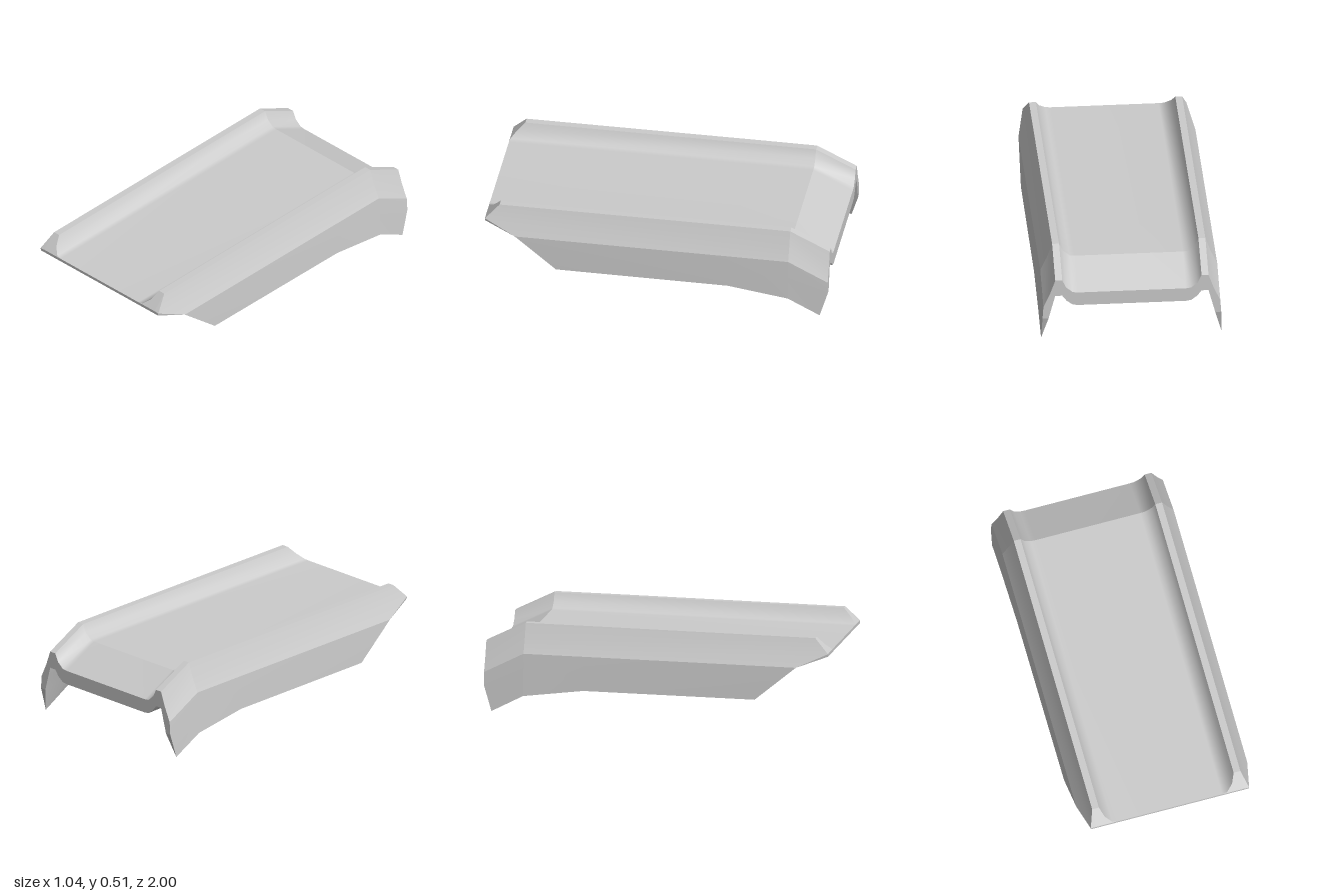
import * as THREE from 'three';

// Half top profile from centre outwards: [x, offset below the rail top]
const TOP = [[0, -0.083], [0.31, -0.083], [0.34, -0.079], [0.378, -0.047], [0.4, 0], [0.44, 0],
  [0.47, -0.085], [0.508, -0.166]];
// Half underside profile: [x, share of the drop from the rail hollow to the deck bottom]
const UNDER = [[0, 1], [0.31, 1], [0.34, 0.93], [0.375, 0.52], [0.4, 0], [0.44, 0]];
// Points down the inside of the skirt, from the rail hollow to the tip
const INSIDE = [0.15, 0.3, 0.5];

// Stations front to back: rail height, skirt crease, skirt middle, skirt tip, rail hollow, drop to deck bottom
const STATIONS = [
  { z: 1, rail: 0.49, crease: 0.326, mid: 0.23, tip: 0.13, x: 0.513, hollow: 0.33, drop: 0.085 },
  { z: -0.42, rail: 0.505, crease: 0.338, mid: 0.243, tip: 0.14, x: 0.517, hollow: 0.305, drop: 0.07 },
  { z: -0.77, rail: 0.508, crease: 0.341, mid: 0.22, tip: 0.096, x: 0.521, hollow: 0.299, drop: 0.067 },
  { z: -1, rail: 0.395, crease: 0.225, mid: 0.15, tip: 0, x: 0.518, hollow: 0.295, drop: 0.065 },
];

// The nose is cut to a wedge, so its z depends on height
const NOSE = [[0.13, 0.58], [0.326, 0.82], [0.39, 1], [0.407, 1], [0.49, 0.92]];
function noseZ(y) {
  for (let i = 1; i < NOSE.length; i++) {
    const [y0, z0] = NOSE[i - 1], [y1, z1] = NOSE[i];
    if (y <= y1) return THREE.MathUtils.mapLinear(Math.max(y, y0), y0, y1, z0, z1);
  }
  return NOSE[NOSE.length - 1][1];
}

function section(st, i) {
  const place = (x, y) => [x, y, i === 0 ? noseZ(y) : st.z];
  const tip = place(st.x, st.tip);
  if (i === STATIONS.length - 1) tip[2] = -0.955;
  const top = TOP.map(([x, d], k) => place(x, k === 7 ? st.crease : st.rail + d));
  top.push(place((0.508 + st.x) / 2, st.mid), tip);
  const under = UNDER.map(([x, f]) => place(x, st.hollow - f * st.drop));
  under.push(...INSIDE.map((t) => place(
    THREE.MathUtils.lerp(0.44, st.x, t), THREE.MathUtils.lerp(st.hollow, st.tip, t))), tip);
  return { top, under };
}

// Grid of points to a surface; side -1 mirrors it across x
function patch(rows, side, flip, flat = false) {
  const n = rows[0].length, index = [];
  const pos = rows.flat().flatMap(([x, y, z]) => [x * side, y, z]);
  const reverse = flip !== (side < 0);
  for (let r = 0; r < rows.length - 1; r++) {
    for (let c = 0; c < n - 1; c++) {
      const a = r * n + c, b = a + 1, d = a + n, e = d + 1;
      index.push(...(reverse ? [a, e, b, a, d, e] : [a, b, e, a, e, d]));
    }
  }
  let g = new THREE.BufferGeometry();
  g.setAttribute('position', new THREE.Float32BufferAttribute(pos, 3));
  g.setIndex(index);
  if (flat) g = g.toNonIndexed();
  g.computeVertexNormals();
  return g;
}

export function createModel() {
  const model = new THREE.Group();
  const material = new THREE.MeshStandardMaterial({ color: 0xcccccc });
  const sections = STATIONS.map(section);
  const first = sections[0], last = sections[sections.length - 1];

  // Column ranges kept smooth inside and sharp between each other
  const bands = [
    ['deck', 'top', 0, 4], ['railTop', 'top', 4, 5], ['railFlank', 'top', 5, 7], ['skirt', 'top', 7, 9],
    ['deckUnderside', 'under', 0, 4], ['railHollow', 'under', 4, 5], ['skirtInside', 'under', 5, 9],
  ];
  // The top bends sharply where the tail slopes down; the underside runs straight through
  const runs = { top: [[0, 3], [2, 4]], under: [[0, 4]] };

  // A level line around the nose, between its top and underside edges
  const level = (height) => first.top.map((t, k) => {
    const u = first.under[k];
    const y = THREE.MathUtils.clamp(height, Math.min(u[1], t[1]), Math.max(u[1], t[1]));
    const f = t[1] === u[1] ? 0 : (t[1] - y) / (t[1] - u[1]);
    return [t[0] + (u[0] - t[0]) * f, y, noseZ(y)];
  });

  for (const side of [1, -1]) {
    const half = new THREE.Group();
    half.name = side > 0 ? 'leftHalf' : 'rightHalf';
    const add = (name, geometry) => {
      const mesh = new THREE.Mesh(geometry, material);
      mesh.name = name;
      half.add(mesh);
    };

    for (const [name, layer, from, to] of bands) {
      for (const [start, end] of runs[layer]) {
        const rows = sections.slice(start, end).map((s) => s[layer].slice(from, to + 1));
        add(name, patch(rows, side, layer === 'under'));
      }
    }

    // Wedge nose with its thin lip and long bevel, and the rear end face
    const nose = [first.top, level(0.407), level(0.39), level(0.326), first.under];
    add('frontEdge', patch(nose, side, true, true));
    add('rearEdge', patch([last.top, last.under], side, false, true));
    model.add(half);
  }
  return model;
}
